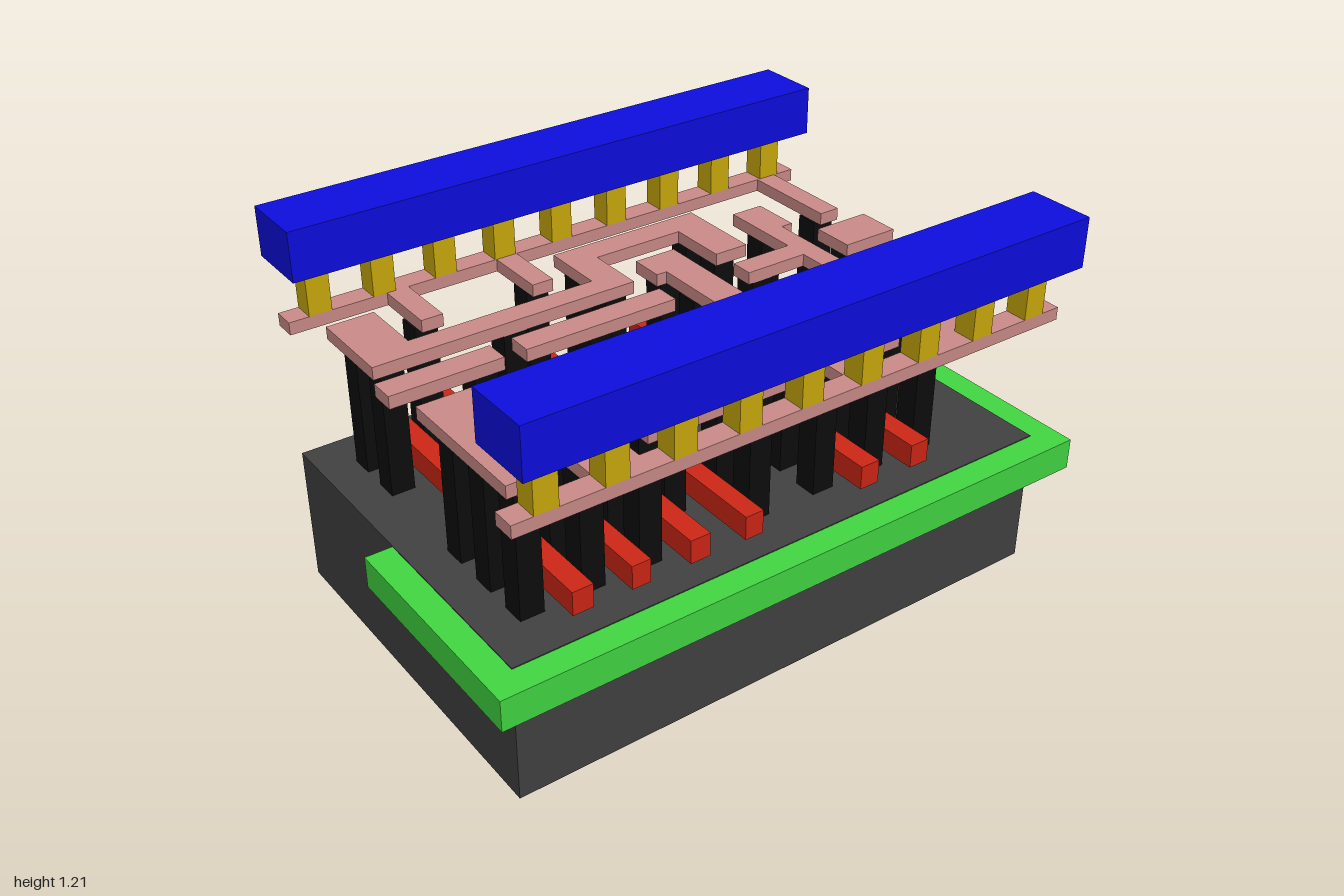
import * as THREE from 'three';

const mat = (color) => new THREE.MeshStandardMaterial({ color, flatShading: true });

export function createModel() {
  const model = new THREE.Group();
  const mats = {
    base: mat(0x404040), well: mat(0x40d440), gate: mat(0xcc2615), contact: mat(0x0d0d0d),
    metal: mat(0xc98a87), via: mat(0xc9a80e), rail: mat(0x0d0ddd),
  };

  // Box from its limits on each axis
  const slab = (parent, name, m, x0, x1, y0, y1, z0, z1) => {
    const mesh = new THREE.Mesh(new THREE.BoxGeometry(x1 - x0, y1 - y0, z1 - z0), m);
    mesh.position.set((x0 + x1) / 2, (y0 + y1) / 2, (z0 + z1) / 2);
    mesh.name = name;
    parent.add(mesh);
  };
  const layer = (name) => {
    const g = new THREE.Group();
    g.name = name;
    model.add(g);
    return g;
  };

  // Substrate block, with the well plate sunk flush into one side
  slab(model, 'substrate', mats.base, -0.6, 0.6, 0, 0.443, -0.915, 0.915);
  slab(model, 'well', mats.well, -0.03, 0.685, 0.34, 0.44, -1, 1);

  // Power rails, their vias and the thin metal strips below, mirrored
  for (const s of [-1, 1]) {
    const g = layer(s < 0 ? 'rightPowerRail' : 'leftPowerRail');
    const side = (name, m, a, b, ...r) => slab(g, name, m, Math.min(s * a, s * b), Math.max(s * a, s * b), ...r);
    side('rail', mats.rail, 0.495, 0.705, 1.055, 1.21, -0.915, 0.915);
    side('railStrip', mats.metal, 0.566, 0.638, 0.86, 0.9, -0.915, 0.915);
    for (let i = -4; i <= 4; i++) {
      side('via', mats.via, 0.566, 0.638, 0.9, 1.055, i * 0.204 - 0.036, i * 0.204 + 0.036);
    }
  }

  // Metal wiring: each wire is a list of [x0, x1, z0, z1] pieces
  const wires = {
    upperWire: [[0.06, 0.24, -0.84, -0.77], [0.06, 0.13, -0.77, -0.61], [-0.4, 0.13, -0.61, -0.54],
      [-0.4, -0.24, -0.65, -0.61], [-0.125, -0.05, -0.54, -0.33]],
    middleWire: [[0.04, 0.49, -0.44, -0.37], [0.04, 0.11, -0.37, 0.15], [0.04, 0.34, 0.15, 0.25],
      [-0.31, 0.04, -0.24, -0.135], [-0.31, -0.2, -0.135, -0.1]],
    frontLeftWire: [[0.2, 0.49, -0.05, 0.07], [0.415, 0.49, 0.07, 0.35], [0.04, 0.49, 0.35, 0.42],
      [0.04, 0.13, 0.42, 0.72], [0.04, 0.49, 0.72, 0.84]],
    frontRightWire: [[-0.49, -0.205, -0.44, -0.325], [-0.49, -0.4, -0.325, -0.02], [-0.49, -0.205, -0.02, 0.08],
      [-0.28, -0.205, 0.08, 0.69], [-0.485, -0.205, 0.69, 0.84]],
    inputPad: [[-0.16, -0.02, -0.88, -0.69]],
    centreWire: [[-0.125, -0.045, -0.055, 0.45]],
    frontCentreWire: [[-0.125, -0.045, 0.52, 0.875]],
    rightStubs: [[-0.566, -0.24, -0.84, -0.77], [-0.566, -0.36, 0.165, 0.235], [-0.566, -0.36, 0.535, 0.605]],
    leftStubs: [[0.23, 0.566, -0.66, -0.52], [0.195, 0.566, -0.27, -0.165], [0.21, 0.566, 0.5, 0.645]],
  };
  for (const [name, pieces] of Object.entries(wires)) {
    const g = layer(name);
    for (const [x0, x1, z0, z1] of pieces) slab(g, 'wire', mats.metal, x0, x1, 0.86, 0.9, z0, z1);
  }

  // Gate bars with the links that join them in the middle
  const gates = layer('gates');
  const bars = [
    [-0.45, 0.295, -0.745, -0.68],
    [-0.16, 0.55, -0.53, -0.465], [-0.16, -0.02, -0.465, -0.3], [-0.55, -0.02, -0.3, -0.235],
    [-0.02, 0.55, -0.34, -0.275], [-0.55, -0.02, -0.105, -0.04], [-0.16, -0.02, -0.18, -0.105],
    [-0.55, 0.55, 0.08, 0.14], [-0.55, 0.55, 0.26, 0.325], [-0.16, -0.02, 0.14, 0.26],
    [-0.55, 0.55, 0.455, 0.515], [-0.55, 0.55, 0.635, 0.7], [-0.16, -0.02, 0.515, 0.635],
  ];
  for (const [x0, x1, z0, z1] of bars) slab(gates, 'gateBar', mats.gate, x0, x1, 0.475, 0.55, z0, z1);

  // Contact pillars: z of each row, then the x positions in it
  const contacts = layer('contacts');
  const rows = [
    [0.765, [-0.43, -0.28, 0.115, 0.27, 0.42]],
    [0.575, [-0.43, -0.09, 0.27, 0.42]],
    [0.39, [-0.245, 0.115, 0.27, 0.42]],
    [0.2, [-0.43, -0.09, 0.115, 0.27]],
    [0.02, [-0.43, -0.28, 0.27, 0.42]],
    [-0.215, [0.27, 0.42]],
    [-0.165, [-0.26, -0.09]],
    [-0.385, [-0.43, -0.28, -0.09]],
    [-0.405, [0.27, 0.42]],
    [-0.595, [-0.31, 0.27, 0.42]],
    [-0.8, [-0.3, 0.165]],
    [-0.755, [-0.09]],
  ];
  const r = 0.037;
  for (const [z, xs] of rows) {
    for (const x of xs) slab(contacts, 'contact', mats.contact, x - r, x + r, 0.44, 0.86, z - r, z + r);
  }
  return model;
}
